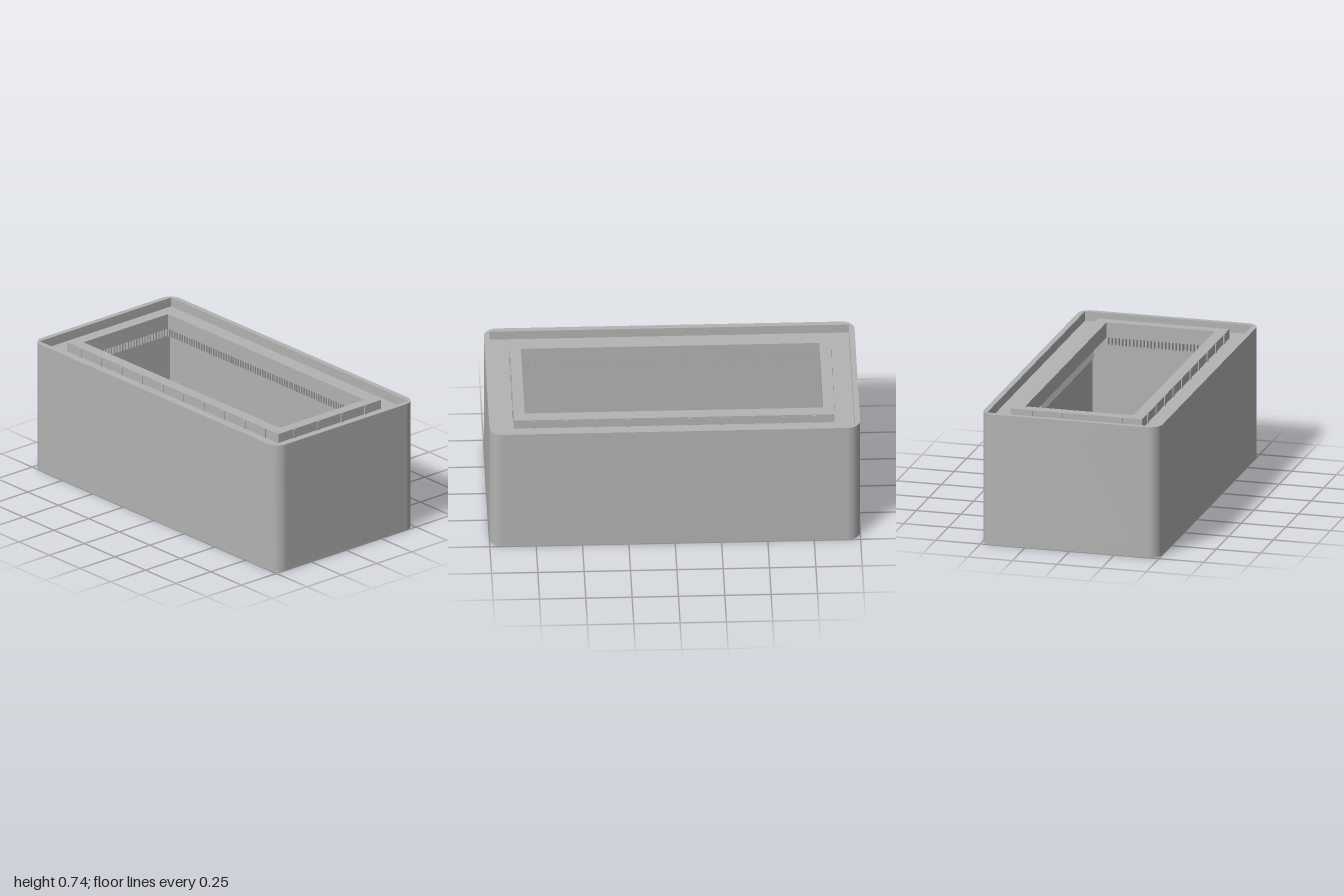
import * as THREE from 'three';
import { toCreasedNormals, mergeGeometries } from 'three/addons/utils/BufferGeometryUtils.js';

const HEIGHT = 0.735, FLOOR = 0.07, LIP = 0.65, RECESS = 0.683;

// Rectangle outline with half sizes w, d and optional corner radius
function rect(w, d, r = 0, Type = THREE.Shape) {
  const s = new Type();
  if (!r) {
    s.moveTo(-w, -d); s.lineTo(w, -d); s.lineTo(w, d); s.lineTo(-w, d); s.closePath();
    return s;
  }
  s.moveTo(-w + r, -d);
  s.lineTo(w - r, -d); s.absarc(w - r, -d + r, r, -Math.PI / 2, 0);
  s.lineTo(w, d - r); s.absarc(w - r, d - r, r, 0, Math.PI / 2);
  s.lineTo(-w + r, d); s.absarc(-w + r, d - r, r, Math.PI / 2, Math.PI);
  s.lineTo(-w, -d + r); s.absarc(-w + r, -d + r, r, Math.PI, Math.PI * 1.5);
  return s;
}

const hole = (w, d) => rect(w, d, 0, THREE.Path);

function roundHole(x, z, r) {
  const p = new THREE.Path();
  p.absarc(x, -z, r, 0, Math.PI * 2, true);
  return p;
}

export function createModel() {
  const group = new THREE.Group();
  const grey = new THREE.MeshStandardMaterial({ color: 0xb3b3b3 });

  function add(name, geometry) {
    const mesh = new THREE.Mesh(geometry, grey);
    mesh.name = name;
    group.add(mesh);
  }

  // Horizontal slab with holes between two heights
  function slab(name, shape, holes, y0, y1) {
    shape.holes.push(...holes);
    const g = new THREE.ExtrudeGeometry(shape, { depth: y1 - y0, bevelEnabled: false, curveSegments: 24 });
    g.rotateX(-Math.PI / 2).translate(0, y0, 0);
    add(name, toCreasedNormals(g, 0.6));
  }

  const outer = () => rect(1, 0.5, 0.07);

  // Floor in two layers: the port hole is wider on the inside
  const floorHoles = (portRadius) => [
    roundHole(-0.605, -0.065, 0.13),
    roundHole(0.605, -0.065, 0.13),
    roundHole(0.22, 0.293, portRadius),
    roundHole(-0.335, 0.265, 0.013),
    roundHole(-0.125, 0.265, 0.013),
  ];
  slab('floorBottom', outer(), floorHoles(0.053), 0, 0.04);
  slab('floorTop', outer(), floorHoles(0.07), 0.04, FLOOR);

  // Walls, overhanging lip, thin outer rim and raised inner frame
  slab('walls', outer(), [hole(0.91, 0.41)], FLOOR, LIP);
  slab('lip', outer(), [hole(0.805, 0.303)], LIP, RECESS);
  slab('rim', outer(), [hole(0.97, 0.47)], RECESS, HEIGHT);
  slab('innerFrame', rect(0.865, 0.368), [hole(0.805, 0.303)], RECESS, HEIGHT);

  const box = (w, h, d, x, y, z) => new THREE.BoxGeometry(w, h, d).translate(x, y, z);

  // Small ribs around the outside of the frame
  const ribs = [], ribH = HEIGHT - RECESS - 0.004, ribY = RECESS + ribH / 2;
  for (const side of [-1, 1]) {
    for (let i = 0; i < 10; i++) {
      ribs.push(box(0.02, ribH, 0.012, -0.755 + i * 0.1678, ribY, side * 0.368));
    }
    for (let i = 0; i < 4; i++) {
      ribs.push(box(0.012, ribH, 0.02, side * 0.865, ribY, -0.257 + i * 0.169));
    }
  }
  add('frameRibs', mergeGeometries(ribs));

  // Row of fine fins hanging beneath the lip, all the way around the opening
  const fins = [], finH = 0.045, finY = LIP - finH / 2;
  for (const side of [-1, 1]) {
    for (let i = 0; i <= 80; i++) {
      fins.push(box(0.008, finH, 0.03, -0.8 + i * 0.02, finY, side * 0.319));
    }
    for (let i = 0; i <= 30; i++) {
      fins.push(box(0.03, finH, 0.008, side * 0.821, finY, -0.3 + i * 0.02));
    }
  }
  add('lipFins', mergeGeometries(fins));

  return group;
}
